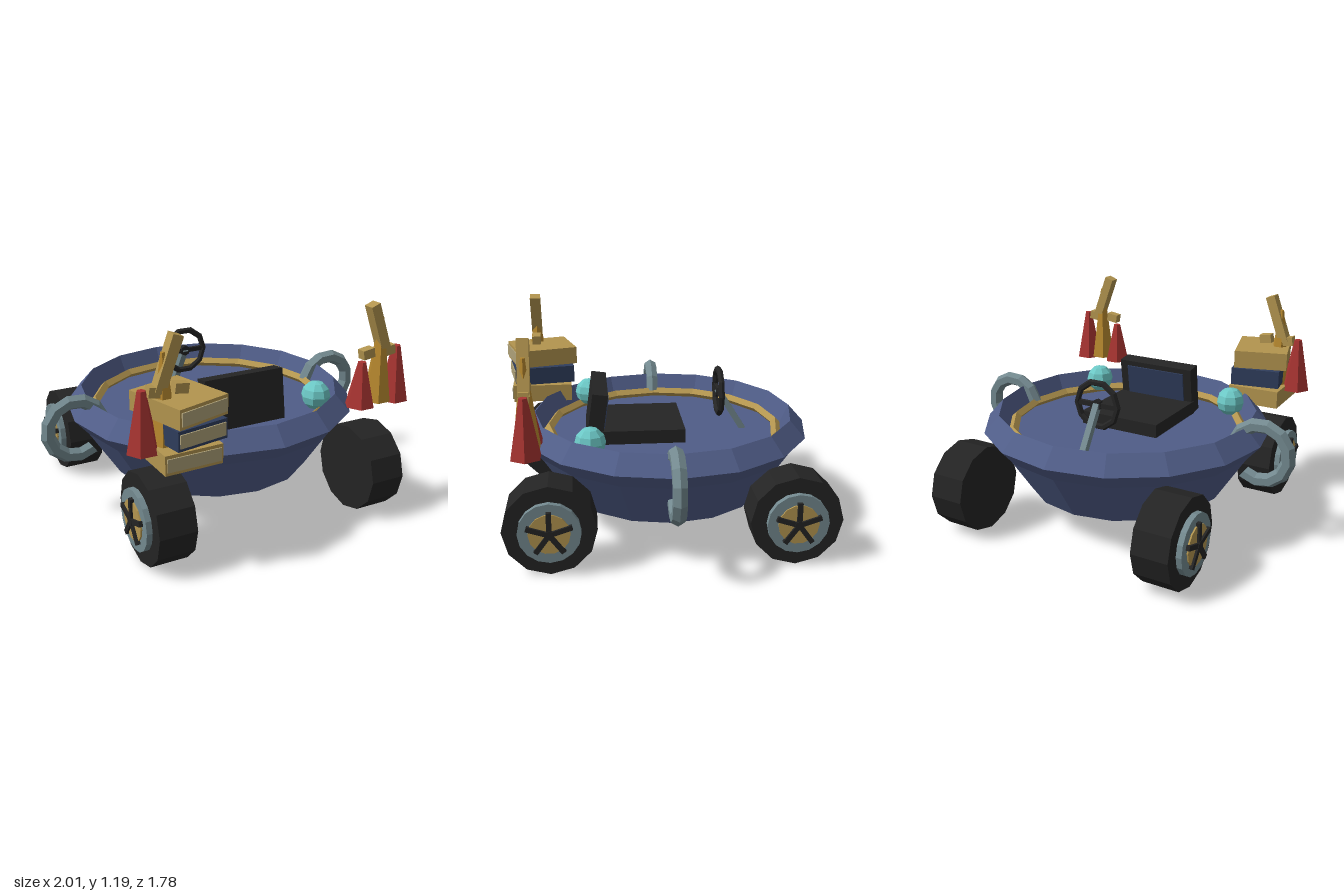
import * as THREE from 'three';

const mat = (name, color) => {
  const m = new THREE.MeshStandardMaterial({ color, flatShading: true });
  m.name = name;
  return m;
};

export function createModel() {
  const root = new THREE.Group();
  root.name = 'cupCar';
  const blue = mat('blue', 0x505d88), navy = mat('navy', 0x2f3d5c), black = mat('black', 0x242424);
  const grey = mat('steel', 0x73898f), tan = mat('brass', 0xb3954f), gold = mat('gold', 0xb8892f);
  const red = mat('red', 0xa83431), cyan = mat('aqua', 0x6cc8c6), cream = mat('pages', 0xada078);

  const add = (parent, name, geo, material, x = 0, y = 0, z = 0) => {
    const mesh = new THREE.Mesh(geo, material);
    mesh.name = name;
    mesh.position.set(x, y, z);
    parent.add(mesh);
    return mesh;
  };
  const group = (parent, name, x = 0, y = 0, z = 0) => {
    const g = new THREE.Group();
    g.name = name;
    g.position.set(x, y, z);
    parent.add(g);
    return g;
  };
  const box = (w, h, d) => new THREE.BoxGeometry(w, h, d);
  const cyl = (rt, rb, h, n) => new THREE.CylinderGeometry(rt, rb, h, n);
  const Z = -0.03;

  // Bowl-shaped body: underside, flared rim, inner wall and floor
  const profile = [[0, 0.18], [0.56, 0.18], [0.735, 0.45], [0.81, 0.535], [0.725, 0.63], [0.665, 0.5], [0, 0.5]]
    .map(([r, y]) => new THREE.Vector2(r, y));
  add(root, 'body', new THREE.LatheGeometry(profile, 16), blue, 0, 0, Z);
  const trim = add(root, 'innerTrim', new THREE.TorusGeometry(0.65, 0.027, 4, 16), tan, 0, 0.53, Z);
  trim.rotation.x = Math.PI / 2;

  // Side handles
  for (const s of [1, -1]) {
    const start = -2.2;
    const geo = new THREE.TorusGeometry(0.155, 0.04, 6, 10, 2.9 - start).rotateZ(start);
    const handle = add(root, 'handle', geo, grey, s * 0.81, 0.5, -0.02);
    handle.rotation.x = s > 0 ? 0 : Math.PI;
    if (s < 0) handle.rotation.set(0, Math.PI, 0);
  }

  // Wheels with steel rim, brass disc and five spokes
  for (const s of [1, -1]) for (const z of [0.605, -0.65]) {
    const wheel = group(root, 'wheel', s * 0.62, 0.24, z);
    wheel.rotation.y = s > 0 ? 0 : Math.PI;
    const disc = (name, r, w, x, m, n) => {
      add(wheel, name, cyl(r, r, w, n).rotateZ(Math.PI / 2), m, x);
    };
    disc('tire', 0.24, 0.2, 0, black, 12);
    disc('rim', 0.16, 0.03, 0.115, grey, 16);
    disc('hubDisc', 0.106, 0.012, 0.132, tan, 14);
    disc('hubCap', 0.025, 0.03, 0.138, black, 8);
    for (let i = 0; i < 5; i++) {
      const spoke = box(0.024, 0.12, 0.026).translate(0, 0.06, 0).rotateX(i * Math.PI * 2 / 5);
      add(wheel, 'spoke', spoke, black, 0.138);
    }
  }

  // Seat facing the steering wheel
  add(root, 'seatBase', box(0.48, 0.075, 0.47), black, 0, 0.545, 0.105);
  const back = group(root, 'seatBack', 0, 0.65, 0.35);
  back.rotation.x = -0.14;
  add(back, 'backrest', box(0.47, 0.28, 0.085), black);
  add(back, 'backPad', box(0.37, 0.19, 0.009), navy, 0, 0.015, -0.046);

  // Steering wheel and column
  const steer = group(root, 'steeringWheel', 0, 0.725, -0.345);
  add(steer, 'steeringRing', new THREE.TorusGeometry(0.126, 0.018, 6, 10), black);
  add(steer, 'steeringBar', box(0.24, 0.026, 0.02), black);
  add(steer, 'steeringHub', cyl(0.03, 0.03, 0.03, 8).rotateX(Math.PI / 2), black);
  const column = add(root, 'steeringColumn', box(0.035, 0.28, 0.035), grey, 0, 0.615, -0.415);
  column.rotation.x = 0.56;

  for (const s of [1, -1]) {
    // Round lamps on the rim
    add(root, 'lamp', new THREE.SphereGeometry(0.082, 8, 6), cyan, s * 0.45, 0.605, 0.39);

    // Red cones, gold spire and brass arm over the front wheels
    const stack = group(root, 'coneCluster', 0, 0, 0.7);
    const hex = (rt, rb, h, n) => cyl(rt, rb, h, n).rotateY(Math.PI / 2);
    add(stack, 'outerCone', hex(0.022, 0.082, 0.3, 6), red, s * 0.73, 0.79);
    add(stack, 'innerCone', hex(0.022, 0.08, 0.24, 6), red, s * 0.51, 0.76);
    add(stack, 'spire', hex(0.012, 0.075, 0.45, 6), gold, s * 0.62, 0.88);
    const arm = add(stack, 'arm', box(0.055, 0.28, 0.06), tan, s * 0.6, 1.05);
    arm.rotation.z = s * 0.35;
    const knob = add(stack, 'knob', box(0.075, 0.05, 0.05), tan, s * 0.665, 0.925);
    knob.rotation.z = s * 0.15;
    const peg = add(stack, 'peg', box(0.07, 0.05, 0.05), tan, s * 0.535, 0.925);
    peg.rotation.z = s * 0.15;
  }

  // Stack of turned books with pages on the front edge
  const books = [
    [-0.54, 0.617, 0.672, 0.02, 0.3, 0.35, tan],
    [-0.52, 0.73, 0.672, 0.17, 0.28, 0.35, navy],
    [-0.53, 0.84, 0.67, 0.28, 0.3, 0.355, tan],
  ];
  for (const [x, y, z, turn, w, d, cover] of books) {
    const book = group(root, 'book', x, y, z);
    book.rotation.y = turn;
    add(book, 'bookCover', box(w, 0.1, d), cover);
    add(book, 'bookPages', box(w - 0.02, 0.066, 0.008), cream, 0, 0, d / 2 + 0.003);
  }
  return root;
}
